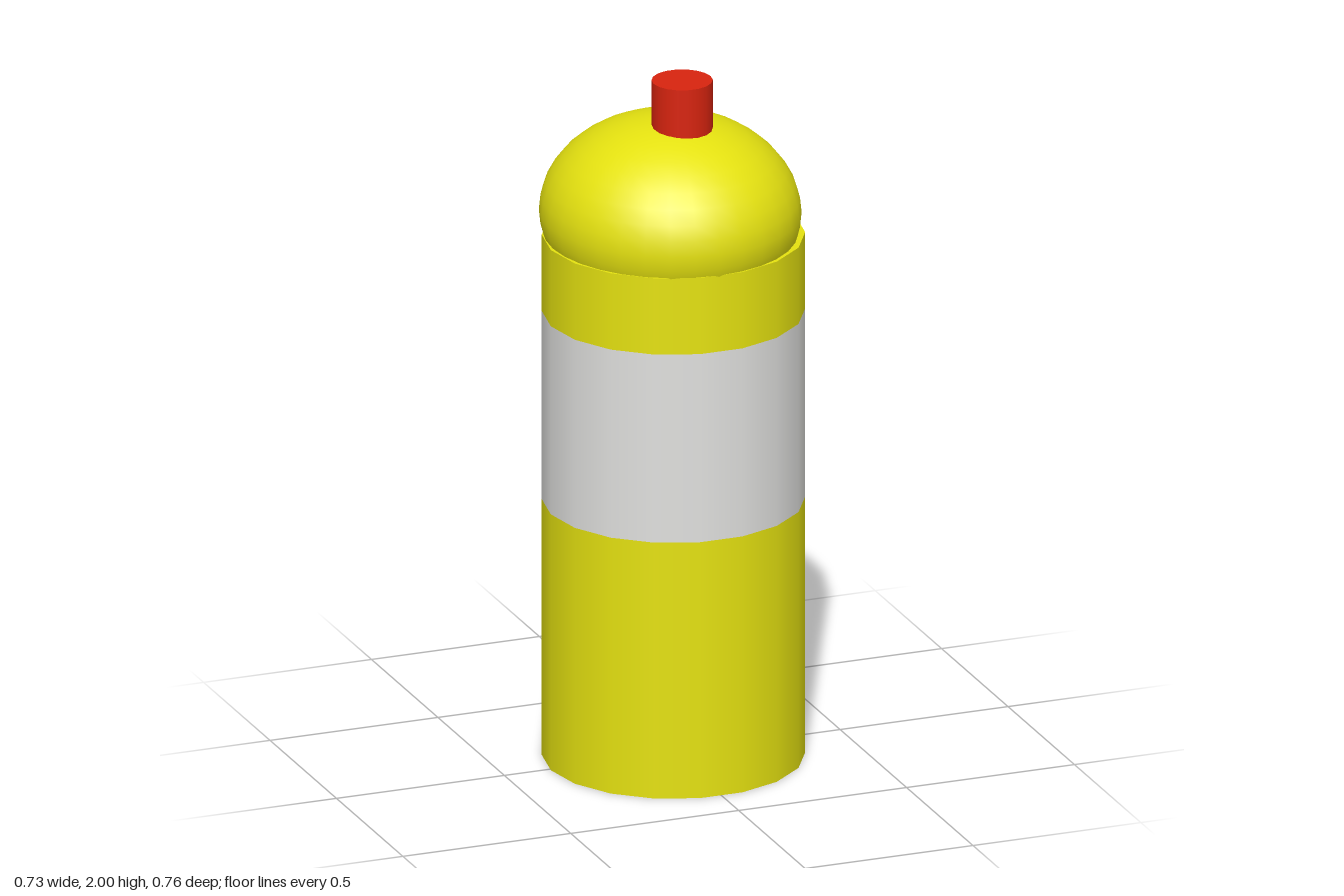
import * as THREE from 'three';

const RADIUS = 0.365;
const SIDES = 18;
const STEP = (Math.PI * 2) / SIDES;
const BODY_TOP = 1.535;

export function createModel() {
  const yellow = new THREE.MeshStandardMaterial({ color: 0xe5e210 });
  const white = new THREE.MeshStandardMaterial({ color: 0xe0e0de });
  const red = new THREE.MeshStandardMaterial({ color: 0xd8240f });
  yellow.name = 'yellow';
  white.name = 'labelWhite';
  red.name = 'capRed';

  const model = new THREE.Group();
  model.name = 'bottle';
  const add = (parent, name, geometry, material, x, y, z) => {
    const mesh = new THREE.Mesh(geometry, material);
    mesh.name = name;
    mesh.position.set(x, y, z);
    parent.add(mesh);
    return mesh;
  };

  // Straight body: each sector is stacked from lower wall, label and upper wall
  const body = new THREE.Group();
  body.name = 'body';
  body.position.z = 0.009;
  model.add(body);
  const sectors = [
    { start: Math.PI / 2, count: 5, low: 0.765, high: 1.33 }, // label seam sits higher here
    { start: Math.PI / 2 + 5 * STEP, count: 13, low: 0.755, high: 1.31 },
  ];
  for (const { start, count, low, high } of sectors) {
    const bands = [
      ['lowerWall', 0, low, yellow],
      ['label', low, high, white],
      ['upperWall', high, BODY_TOP, yellow],
    ];
    for (const [name, y0, y1, material] of bands) {
      const geometry = new THREE.CylinderGeometry(
        RADIUS, RADIUS, y1 - y0, count, 1, true, start, count * STEP);
      add(body, name, geometry, material, 0, (y0 + y1) / 2, 0);
    }
  }

  // Flat base and shoulder discs
  const disc = new THREE.CircleGeometry(RADIUS, SIDES);
  add(body, 'base', disc, yellow, 0, 0, 0).rotation.x = Math.PI / 2;
  add(body, 'shoulder', disc, yellow, 0, BODY_TOP, 0).rotation.x = -Math.PI / 2;

  // Squashed dome overhanging the body
  const dome = add(model, 'dome', new THREE.SphereGeometry(1, 32, 20), yellow, -0.006, 1.6, 0);
  dome.scale.set(0.361, 0.275, 0.382);

  // Off-centre cap sunk into the dome
  const cap = new THREE.CylinderGeometry(0.085, 0.085, 0.18, SIDES);
  add(model, 'cap', cap, red, 0.01, 1.91, 0.049).rotation.y = Math.PI / 2;

  return model;
}
